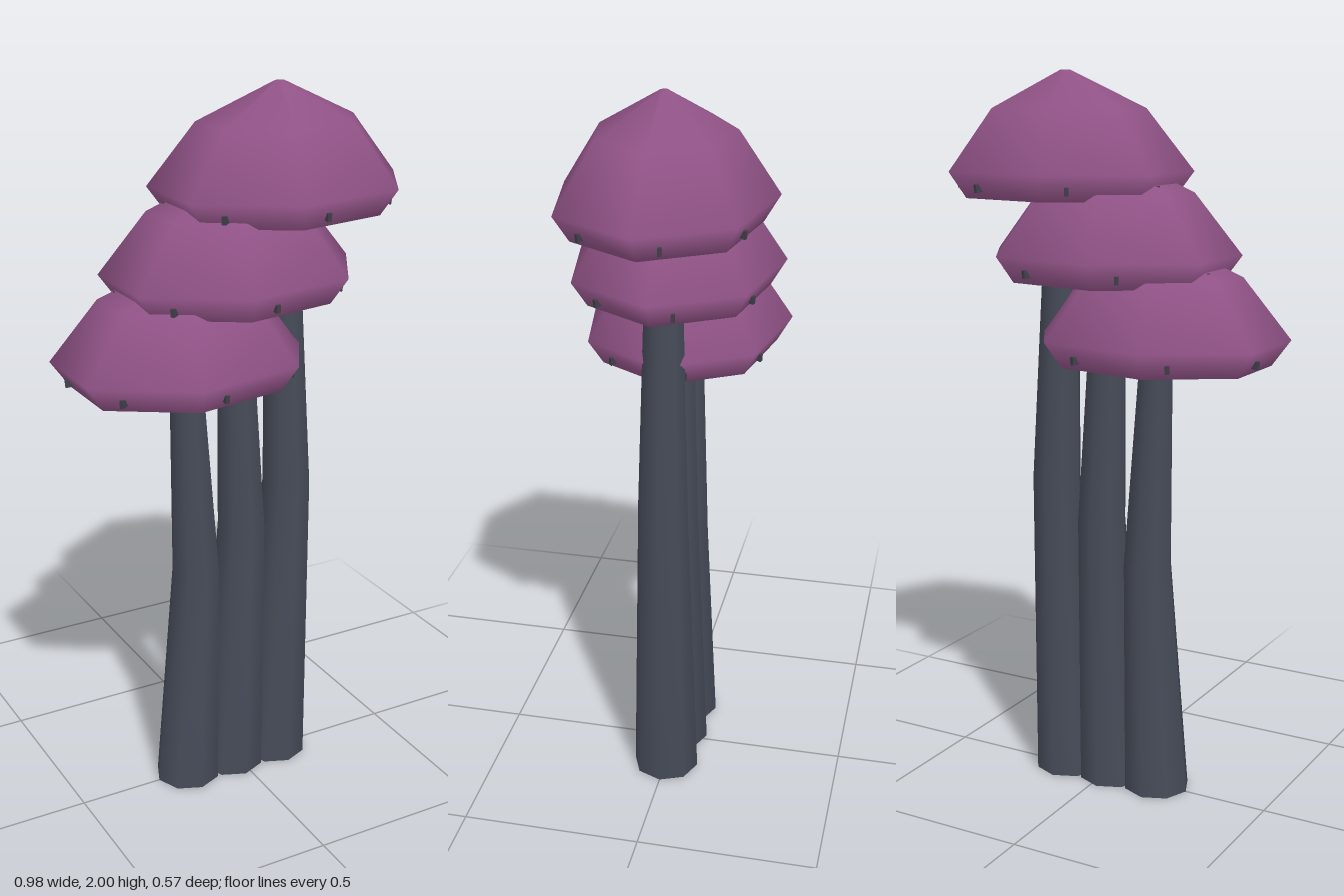
import * as THREE from 'three';

const SIDES = 7;
const capMaterial = new THREE.MeshStandardMaterial({ color: 0x8f5285, side: THREE.DoubleSide });
const stemMaterial = new THREE.MeshStandardMaterial({ color: 0x464b58, side: THREE.DoubleSide });
const gillMaterial = new THREE.MeshStandardMaterial({ color: 0x41404a });

function addMesh(parent, name, geometry, material) {
  const mesh = new THREE.Mesh(geometry, material);
  mesh.name = name;
  parent.add(mesh);
  return mesh;
}

// Seven-sided turned surface with a corner on +x; profile is [radius, y] pairs
function turned(profile) {
  const points = profile.map(([r, y]) => new THREE.Vector2(r, y));
  return new THREE.LatheGeometry(points, SIDES, Math.PI / 2);
}

// Cap with its origin at the lower edge, slightly flattened front to back
function createCap() {
  const cap = new THREE.Group();
  cap.name = 'cap';
  cap.scale.z = 0.8;
  addMesh(cap, 'capDome', turned([[0.31, 0], [0.363, 0.07], [0.228, 0.235], [0.014, 0.335], [0, 0.335]]), capMaterial);
  addMesh(cap, 'capUnderside', turned([[0, 0.092], [0.014, 0.092], [0.31, 0]]), capMaterial);

  // Thin gills spread like spokes, tips just reaching through the lower wall
  for (let i = 0; i < SIDES; i++) {
    const spoke = new THREE.Group();
    spoke.name = 'gillSpoke';
    spoke.rotation.y = -(Math.PI / 2 + (i * 2 * Math.PI) / SIDES);
    const gill = addMesh(spoke, 'gill', new THREE.BoxGeometry(0.28, 0.022, 0.012), gillMaterial);
    gill.position.set(0.182, 0.042, 0);
    gill.rotation.z = -0.1;
    cap.add(spoke);
  }
  return cap;
}

// Open, tapering stem, bent sideways at half height
function createStem(height) {
  const geometry = new THREE.CylinderGeometry(0.044, 0.094, height, 8, 2, true, Math.PI / 2);
  geometry.translate(0, height / 2, 0);
  const position = geometry.attributes.position;
  for (let i = 0; i < position.count; i++) {
    const t = position.getY(i) / height;
    const bend = t > 0.75 ? 0.008 : t > 0.25 ? 0.034 : 0;
    position.setX(i, position.getX(i) + bend);
  }
  geometry.computeVertexNormals();
  // Share normals across the seam
  const normal = geometry.attributes.normal;
  for (let row = 0; row < 3; row++) {
    const a = row * 9, b = a + 8;
    const n = new THREE.Vector3().fromBufferAttribute(normal, a)
      .add(new THREE.Vector3().fromBufferAttribute(normal, b)).normalize();
    normal.setXYZ(a, n.x, n.y, n.z);
    normal.setXYZ(b, n.x, n.y, n.z);
  }
  return geometry;
}

export function createModel() {
  const model = new THREE.Group();
  model.name = 'mushroomCluster';

  // Three mushrooms stepping down from left to right
  const mushrooms = [
    ['tallMushroom', 0.127, 1.665],
    ['middleMushroom', -0.019, 1.447],
    ['shortMushroom', -0.165, 1.23],
  ];
  for (const [name, x, capY] of mushrooms) {
    const mushroom = new THREE.Group();
    mushroom.name = name;
    mushroom.position.x = x;
    addMesh(mushroom, 'stem', createStem(capY + 0.092), stemMaterial);
    const cap = createCap();
    cap.position.y = capY;
    mushroom.add(cap);
    model.add(mushroom);
  }
  return model;
}
